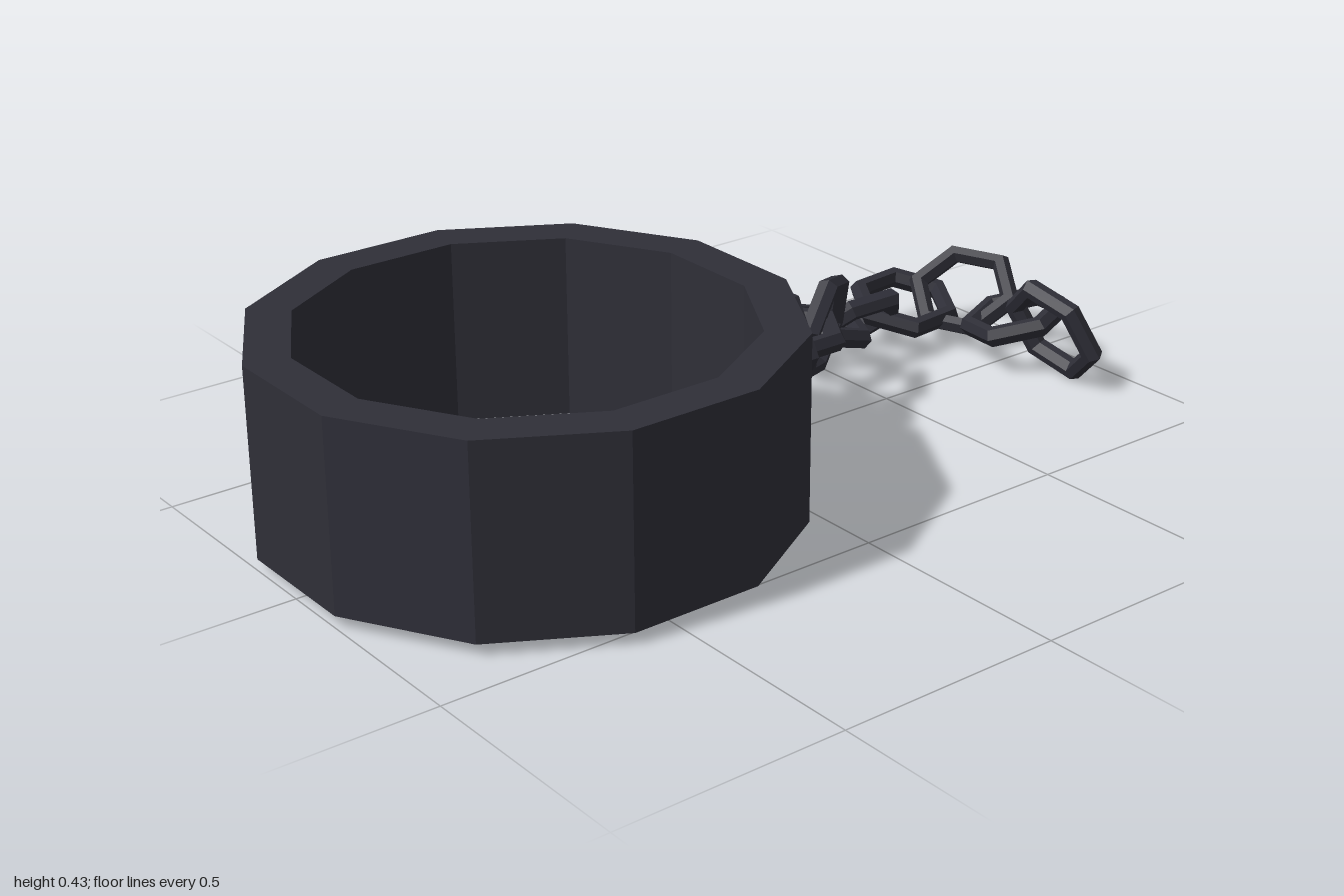
import * as THREE from 'three';

export function createModel() {
  const model = new THREE.Group();
  const iron = new THREE.MeshStandardMaterial({ color: 0x2f2f38, flatShading: true });
  iron.name = 'dark iron';

  const add = (name, geometry) => {
    const mesh = new THREE.Mesh(geometry, iron);
    mesh.name = name;
    model.add(mesh);
    return mesh;
  };

  // twelve-sided cuff with flats facing the axes
  const ringPoints = (apothem) => Array.from({ length: 12 }, (_, i) => {
    const a = (i + 0.5) * Math.PI / 6, r = apothem / Math.cos(Math.PI / 12);
    return new THREE.Vector2(Math.cos(a) * r, Math.sin(a) * r);
  });
  const outline = new THREE.Shape(ringPoints(0.54));
  outline.holes.push(new THREE.Path(ringPoints(0.45).reverse()));
  const cuff = new THREE.ExtrudeGeometry(outline, { depth: 0.405, bevelEnabled: false });
  cuff.rotateX(-Math.PI / 2);
  add('cuff', cuff).position.set(-0.46, 0.02, 0);

  // hexagonal boss that anchors the chain
  const boss = new THREE.CylinderGeometry(0.136, 0.136, 0.12, 6);
  boss.rotateZ(-Math.PI / 2);
  add('chainAnchor', boss).position.set(0.12, 0.223, 0);

  // chain: centre, long direction and cross direction of each link
  const links = [
    [[0.205, 0.225, 0], [1, 0, 0], [0, 0, 1]],
    [[0.345, 0.195, -0.045], [0.215, -0.075, -0.16], [0.033, 0.095, 0]],
    [[0.455, 0.122, -0.19], [0.28, -0.08, 0], [0, 0, 1]],
    [[0.585, 0.088, -0.215], [1, 0, 0], [0, 0.7, 0.7]],
    [[0.77, 0.085, -0.24], [1, 0, -0.1], [0, -0.25, 1]],
    [[0.885, 0.11, -0.16], [0.35, 0, 0.9], [0.7, 0.6, -0.27]],
    [[0.885, 0.1, 0.01], [-0.3, 0.15, 0.95], [0.9, 0.25, 0.25]],
    [[0.875, 0.11, 0.14], [0.05, -0.2, 0.98], [-0.35, 0.9, 0.2]],
  ];
  const linkGeometry = new THREE.TorusGeometry(0.118, 0.024, 6, 6);
  linkGeometry.scale(1, 0.9, 1);
  links.forEach(([centre, along, across], i) => {
    const u = new THREE.Vector3(...along).normalize();
    const w = u.clone().cross(new THREE.Vector3(...across)).normalize();
    const v = w.clone().cross(u);
    const link = add(`chainLink${i + 1}`, linkGeometry);
    link.quaternion.setFromRotationMatrix(new THREE.Matrix4().makeBasis(u, v, w));
    link.position.set(...centre);
  });

  return model;
}
